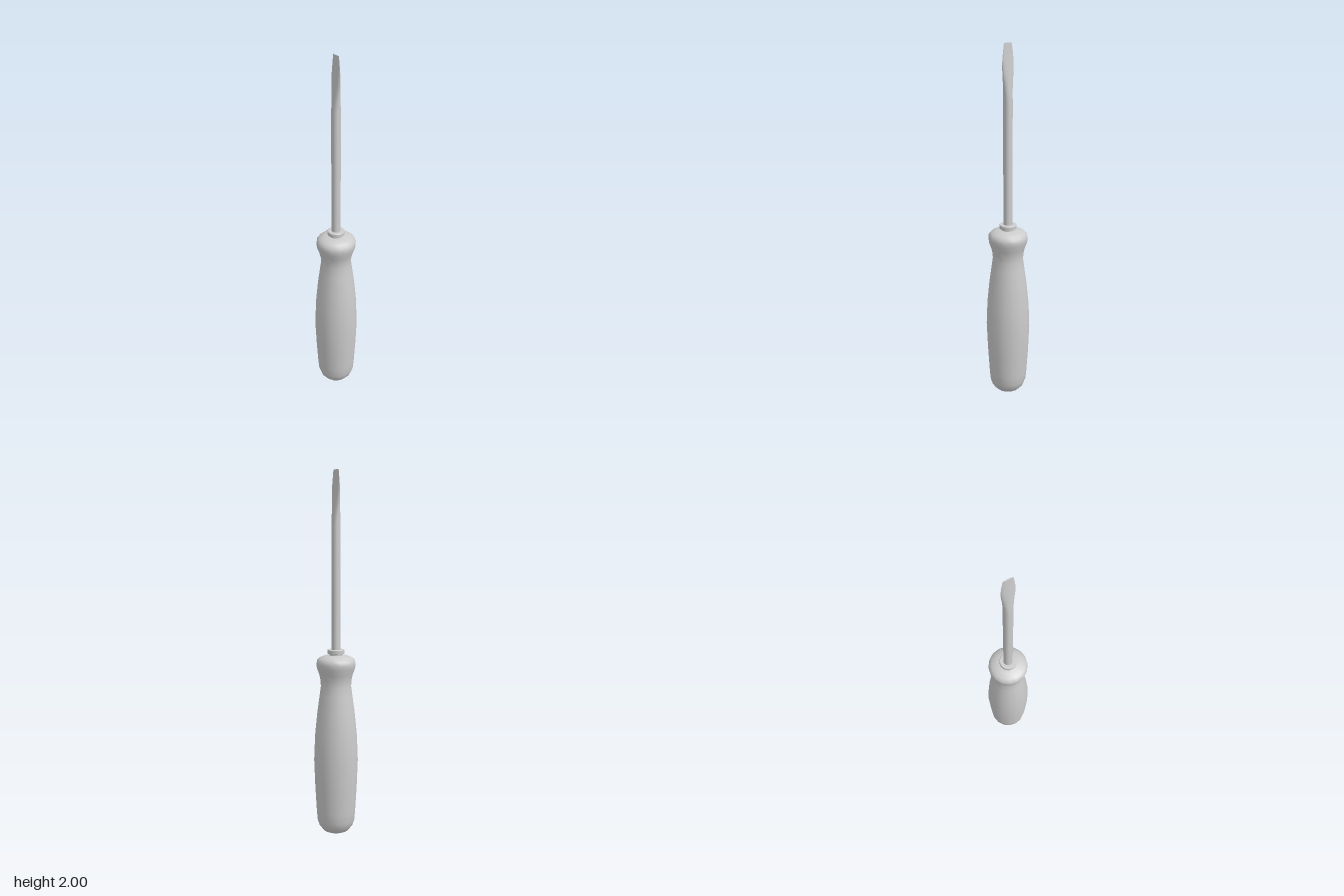
import * as THREE from 'three';
import { toCreasedNormals } from 'three/addons/utils/BufferGeometryUtils.js';

const SIDES = 16;
const material = new THREE.MeshStandardMaterial({ color: 0xcccccc });

// Turned part from [radius, height] pairs, listed bottom to top
function turned(name, profile, crease) {
  const points = profile.map(([r, y]) => new THREE.Vector2(r, y));
  const geometry = toCreasedNormals(new THREE.LatheGeometry(points, SIDES), crease);
  const mesh = new THREE.Mesh(geometry, material);
  mesh.name = name;
  return mesh;
}

// Loft of elliptical sections [height, half width in x, half width in z]
function shaftGeometry(sections) {
  const position = [], index = [];
  sections.forEach(([y, rx, rz]) => {
    for (let i = 0; i < SIDES; i++) {
      const a = (i / SIDES) * Math.PI * 2;
      position.push(Math.sin(a) * rx, y, Math.cos(a) * rz);
    }
  });
  for (let s = 0; s < sections.length - 1; s++) {
    for (let i = 0; i < SIDES; i++) {
      const a = s * SIDES + i, b = s * SIDES + (i + 1) % SIDES;
      index.push(a, b, b + SIDES, a, b + SIDES, a + SIDES);
    }
  }
  // Flat cap on the tip
  const top = (sections.length - 1) * SIDES;
  for (let i = 1; i < SIDES - 1; i++) index.push(top, top + i, top + i + 1);
  const geometry = new THREE.BufferGeometry();
  geometry.setAttribute('position', new THREE.Float32BufferAttribute(position, 3));
  geometry.setIndex(index);
  return toCreasedNormals(geometry, 0.7);
}

export function createModel() {
  const model = new THREE.Group();
  model.name = 'screwdriver';

  // Swelling grip with a waisted neck and rounded shoulder
  model.add(turned('handle', [
    [0, 0], [0.04, 0.003], [0.072, 0.015], [0.093, 0.04], [0.105, 0.075],
    [0.11, 0.13], [0.118, 0.27], [0.124, 0.43], [0.118, 0.57], [0.106, 0.69],
    [0.092, 0.79], [0.085, 0.84], [0.086, 0.875], [0.094, 0.91], [0.106, 0.943],
    [0.109, 0.965], [0.106, 0.985], [0.092, 0.999], [0.065, 1.01], [0, 1.016],
  ], 1.0));

  // Metal collar with a narrow foot
  model.add(turned('collar', [
    [0.036, 1.005], [0.036, 1.02], [0.047, 1.023], [0.047, 1.041], [0.044, 1.044], [0, 1.044],
  ], 0.6));

  // Round shaft flattening into the blade
  const shaft = new THREE.Mesh(shaftGeometry([
    [1.03, 0.025, 0.025], [1.71, 0.025, 0.025], [1.76, 0.0215, 0.026],
    [1.82, 0.016, 0.031], [1.87, 0.0115, 0.0355], [1.91, 0.008, 0.036],
    [1.95, 0.005, 0.032], [2, 0.0025, 0.025],
  ]), material);
  shaft.name = 'shaftAndBlade';
  model.add(shaft);

  return model;
}
